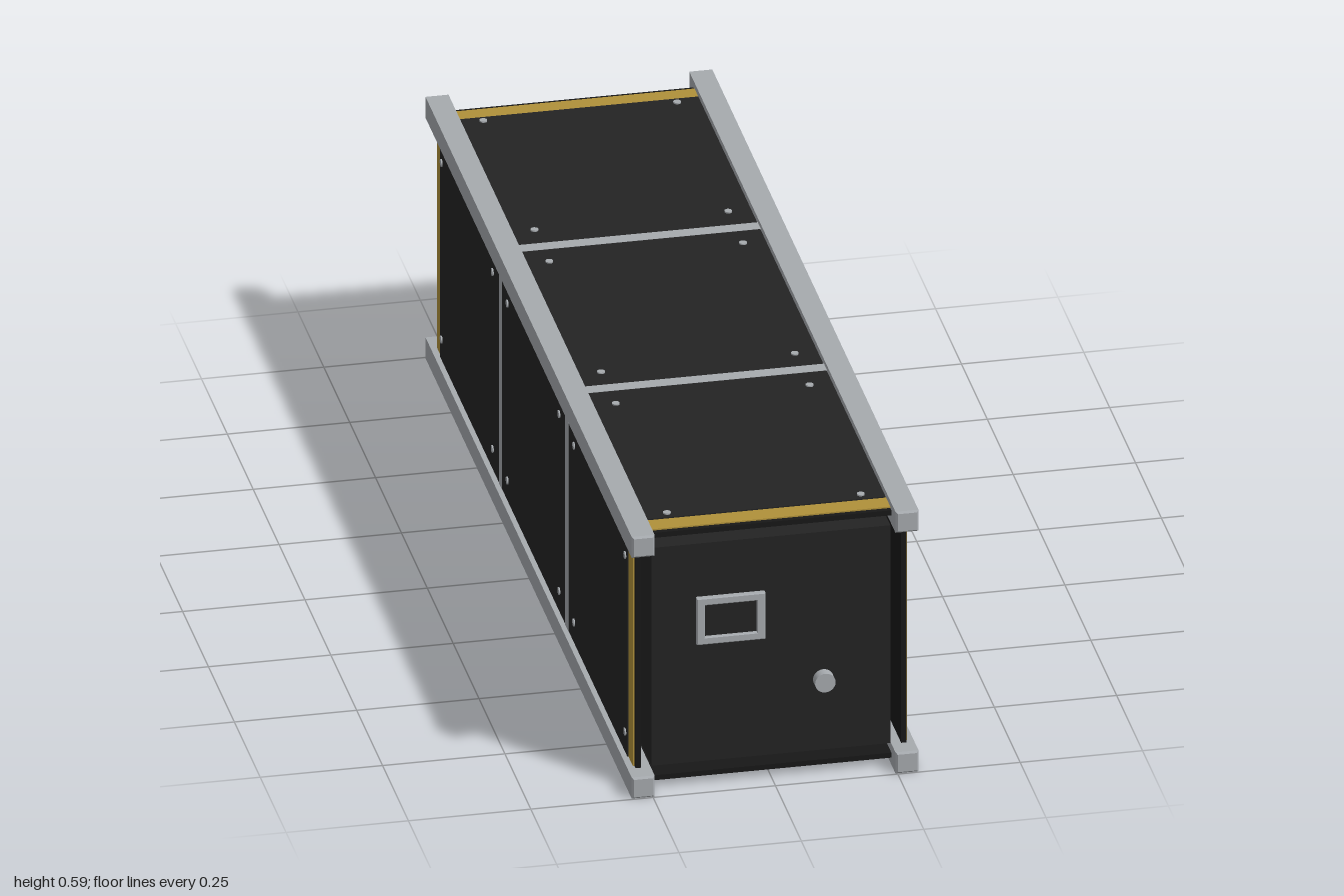
import * as THREE from 'three';

const C = 0.294; // height of the long axis

export function createModel() {
  const model = new THREE.Group();
  const mat = (name, color) => Object.assign(new THREE.MeshStandardMaterial({ color }), { name });
  const silver = mat('silver', 0xa6aaae);
  const gold = mat('gold', 0xb0913a);
  const black = mat('black', 0x232323);
  const darkBlack = mat('darkBlack', 0x171717);

  const add = (parent, name, geometry, material, x, y, z) => {
    const mesh = new THREE.Mesh(geometry, material);
    mesh.name = name;
    mesh.position.set(x, y, z);
    parent.add(mesh);
    return mesh;
  };
  const box = (parent, name, material, w, h, d, x, y, z) =>
    add(parent, name, new THREE.BoxGeometry(w, h, d), material, x, y, z);

  const rect = (Type, w, h) => new Type([
    [-w / 2, -h / 2], [w / 2, -h / 2], [w / 2, h / 2], [-w / 2, h / 2],
  ].map(([x, y]) => new THREE.Vector2(x, y)));

  // inner body between the end plates
  box(model, 'body', black, 0.488, 0.488, 1.914, 0, C, 0);

  // four chamfered corner rails
  const bevel = 0.004;
  const railGeo = new THREE.ExtrudeGeometry(rect(THREE.Shape, 0.047 - 2 * bevel, 0.047 - 2 * bevel), {
    depth: 2 - 2 * bevel, bevelEnabled: true, bevelSize: bevel, bevelThickness: bevel, bevelSegments: 1,
  }).translate(0, 0, -1 + bevel);
  for (const sx of [-1, 1]) {
    for (const sy of [-1, 1]) add(model, 'cornerRail', railGeo, silver, sx * 0.2695, C + sy * 0.2695, 0);
  }

  // four identical sides, each built facing up and turned about the long axis
  const screwGeo = new THREE.CylinderGeometry(0.008, 0.008, 0.004, 12);
  for (let i = 0; i < 4; i++) {
    const side = new THREE.Group();
    side.name = 'sidePanel';
    side.position.y = C;
    side.rotation.z = i * Math.PI / 2;
    model.add(side);

    box(side, 'basePlate', darkBlack, 0.492, 0.011, 1.914, 0, 0.2715, 0);
    box(side, 'goldSheet', gold, 0.492, 0.003, 1.892, 0, 0.2785, 0);

    // three solar panels with a screw in each corner
    for (const [z, half, screw] of [[-0.62, 0.285, 0.247], [0, 0.305, 0.25], [0.62, 0.285, 0.247]]) {
      box(side, 'solarPanel', black, 0.49, 0.003, half * 2, 0, 0.2811, z);
      for (const sx of [-1, 1]) {
        for (const sz of [-1, 1]) add(side, 'screw', screwGeo, silver, sx * 0.198, 0.2835, z + sz * screw - Math.sign(z) * -0.02);
      }
    }

    // cross bars between the panels
    for (const z of [-0.32, 0.32]) box(side, 'crossBar', silver, 0.492, 0.006, 0.03, 0, 0.28, z);
  }

  // window frame on the front plate
  const frame = rect(THREE.Shape, 0.136, 0.1);
  frame.holes.push(rect(THREE.Path, 0.11, 0.075));
  const frameGeo = new THREE.ExtrudeGeometry(frame, {
    depth: 0.009, bevelEnabled: true, bevelSize: 0.002, bevelThickness: 0.002, bevelSegments: 1,
  });
  add(model, 'windowFrame', frameGeo, silver, -0.0835, 0.367, 0.957);
  box(model, 'windowPane', black, 0.112, 0.077, 0.004, -0.0835, 0.367, 0.9585);

  // round knob on the front plate
  const cyl = (name, r, from, to) => add(model, name,
    new THREE.CylinderGeometry(r, r, to - from, 24).rotateX(Math.PI / 2), silver, 0.105, 0.213, (from + to) / 2);
  cyl('knobStem', 0.013, 0.955, 0.967);
  cyl('knob', 0.021, 0.965, 0.986);

  return model;
}
